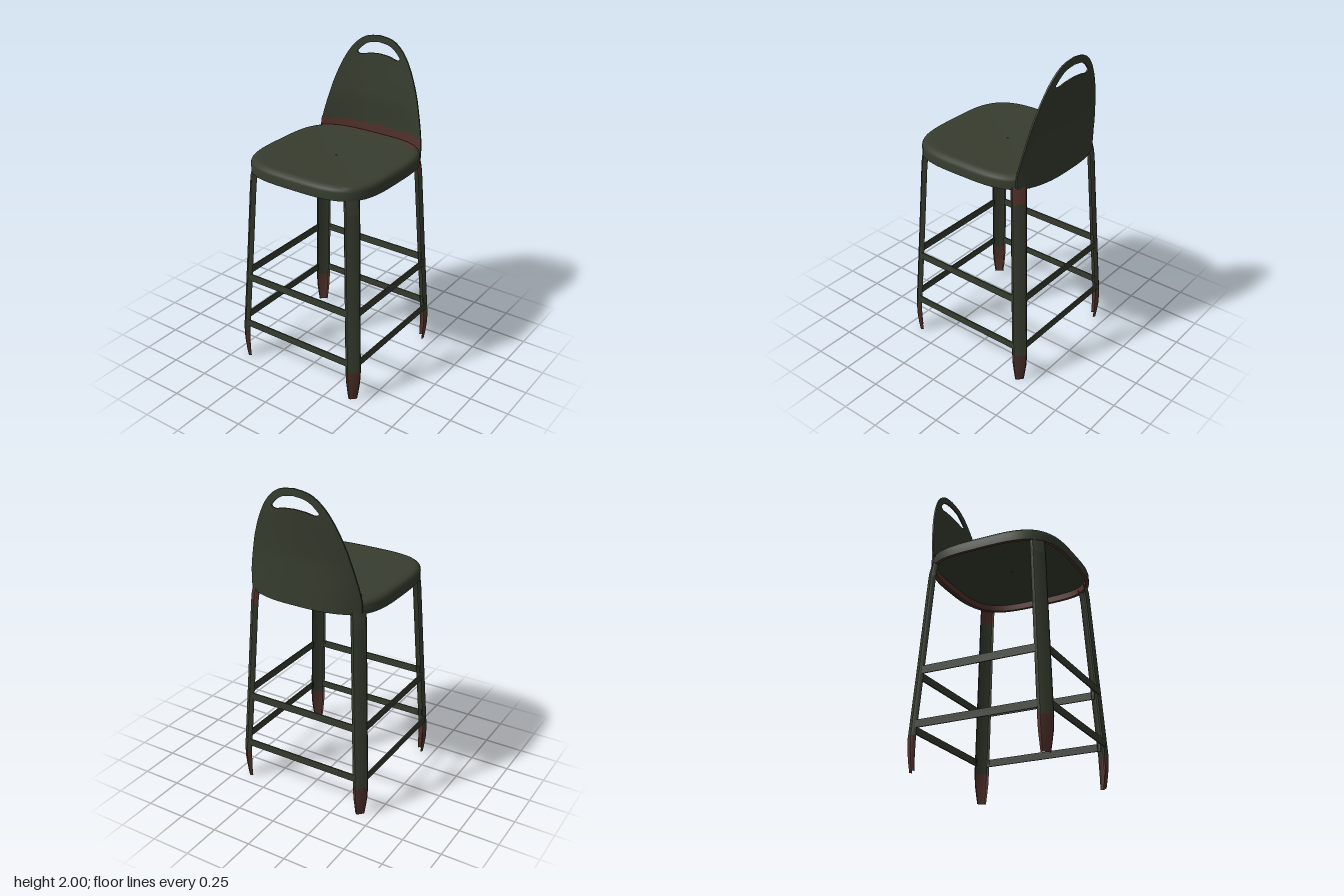
import * as THREE from 'three';
import { toCreasedNormals } from 'three/addons/utils/BufferGeometryUtils.js';

const makeMaterial = (name, color) => {
  const m = new THREE.MeshStandardMaterial({ color, side: THREE.DoubleSide });
  m.name = name;
  return m;
};

// Linear interpolation through [key, value] pairs with rising keys
function interp(table, k) {
  if (k <= table[0][0]) return table[0][1];
  for (let i = 1; i < table.length; i++) {
    const [a, va] = table[i - 1], [b, vb] = table[i];
    if (k <= b) return va + (vb - va) * (k - a) / (b - a);
  }
  return table[table.length - 1][1];
}

// Skin a surface over rows of points
function loft(rows, closed = false) {
  const n = rows[0].length, index = [];
  for (let j = 0; j < rows.length - 1; j++) {
    for (let i = 0; i < (closed ? n : n - 1); i++) {
      const a = j * n + i, b = j * n + (i + 1) % n;
      index.push(a, b, a + n, b, b + n, a + n);
    }
  }
  const g = new THREE.BufferGeometry();
  g.setAttribute('position', new THREE.Float32BufferAttribute(rows.flat(2), 3));
  g.setIndex(index);
  return toCreasedNormals(g, 0.7);
}

// Seat: rounded square outline scaled along a profile
const SEAT_TOP = [[0.01, 1.373], [0.6, 1.375], [0.84, 1.382], [0.92, 1.385], [0.965, 1.38], [0.99, 1.37], [1, 1.355]];
function seatPoint(angle, s, y) {
  const c = Math.cos(angle), d = Math.sin(angle), n = 3.6;
  const r = s * (Math.abs(c) ** n + Math.abs(d) ** n) ** (-1 / n);
  return [0.44 * r * c, y, 0.0075 + 0.4375 * r * d];
}
const seatRing = ([s, y]) => Array.from({ length: 80 }, (_, i) => seatPoint(-i * Math.PI / 40, s, y));

// Backrest: half width by height, and depth of the bent sheet
const BACK_EDGE = [[0.1, 1.982], [0.18, 1.92], [0.245, 1.82], [0.3, 1.69], [0.335, 1.57], [0.362, 1.46], [0.375, 1.38]];
const BACK_WIDTH = [...BACK_EDGE.map(([x, y]) => [y, x]).reverse(), [2, 0.02]];
const BACK_CENTRE = [[1.305, -0.444], [1.6, -0.436], [1.88, -0.457], [2, -0.455]];
const BACK_SIDE = [[1.305, -0.355], [1.385, -0.358], [2, -0.455]];
function backDepth(x, y) {
  const ratio = Math.min(1, Math.abs(x) / interp(BACK_WIDTH, y));
  const power = interp([[1.4, 3], [1.7, 2]], y);
  const zc = interp(BACK_CENTRE, y);
  return zc + (interp(BACK_SIDE, y) - zc) * ratio ** power;
}

// Full loop from a right-hand half outline
function mirroredLoop(path, n) {
  const half = path.getSpacedPoints(n);
  const other = half.slice(1, -1).reverse().map((p) => new THREE.Vector2(-p.x, p.y));
  return [...half, ...other];
}
const vecs = (list) => list.map(([x, y]) => new THREE.Vector2(x, y));

function backrestGeometry() {
  const outer = mirroredLoop(new THREE.Path().moveTo(0, 2).splineThru(vecs(BACK_EDGE))
    .lineTo(0.375, 1.305).lineTo(0, 1.305), 48);
  const slot = mirroredLoop(new THREE.Path().moveTo(0, 1.958).splineThru(vecs([
    [0.08, 1.945], [0.138, 1.912], [0.155, 1.883], [0.132, 1.866], [0.07, 1.879], [0, 1.885]])), 48);
  const rings = 16;
  const ring = (t, offset) => outer.map((o, i) => {
    const p = slot[i].clone().lerp(o, t);
    return [p.x, p.y, backDepth(p.x, p.y) + offset];
  });
  const front = [], rear = [];
  for (let j = 0; j <= rings; j++) {
    front.push(ring(j / rings, 0.01));
    rear.unshift(ring(j / rings, 0));
  }
  return loft([...front, ...rear, front[0]], true);
}

// Legs: bent sheet channel, open towards the middle of the stool
const CHANNEL = [[-0.045, -0.032], [-0.045, -0.013], [-0.038, -0.003], [-0.026, 0],
  [0.026, 0], [0.038, -0.003], [0.045, -0.013], [0.045, -0.032]];
function legGeometry(levels) {
  const k = Math.SQRT1_2;
  return loft(levels.map(([y, centre, s]) => CHANNEL.map(([t, r]) =>
    [centre + (r + t) * s * k, y, centre + (r - t) * s * k])));
}

export function createModel() {
  const green = makeMaterial('olive paint', 0x373d2f);
  const rust = makeMaterial('rust', 0x53332c);
  const model = new THREE.Group();
  model.name = 'barStool';
  const add = (parent, name, geometry, material) => {
    const mesh = new THREE.Mesh(geometry, material);
    mesh.name = name;
    parent.add(mesh);
    return mesh;
  };

  // Seat shell with a rusty lip underneath
  const seat = new THREE.Group();
  seat.name = 'seat';
  model.add(seat);
  add(seat, 'seatTop', loft([...SEAT_TOP, [1, 1.305]].reverse().map(seatRing), true), green);
  add(seat, 'seatLip', loft([[0.95, 1.345], [0.955, 1.305], [1, 1.305]].map(seatRing), true), rust);
  add(seat, 'seatUnderside', loft([[0.01, 1.355], [0.9, 1.355], [0.95, 1.345]].map(seatRing), true), green);

  // Backrest with hand slot
  add(model, 'backrest', backrestGeometry(), green);

  // Rust along the joint of seat and backrest
  const wave = (x) => 0.5 + 0.3 * Math.sin(x * 27 + 0.6) + 0.2 * Math.sin(x * 61);
  const steps = 48, seatRust = [], backRust = [];
  for (let j = 0; j <= 5; j++) {
    const v = j / 5, seatRow = [], backRow = [];
    for (let i = 0; i <= steps; i++) {
      const u = i / steps * 2 - 1;
      const angle = -Math.PI / 2 + u * 0.8;
      const s = 0.995 - v * (0.085 + 0.035 * wave(u * 0.37));
      seatRow.push(seatPoint(angle, s, interp(SEAT_TOP, s) + 0.002));
      const x = u * 0.37;
      const y = 1.37 + v * (0.05 + 0.025 * wave(x));
      backRow.push([x, y, backDepth(x, y) + 0.013]);
    }
    seatRust.push(seatRow);
    backRust.push(backRow);
  }
  add(seat, 'seatRust', loft(seatRust.reverse()), rust);
  add(model, 'backrestRust', loft(backRust), rust);

  // Four legs and two levels of rungs, one quarter turn each
  const foot = legGeometry([[0, 0.417, 0.6], [0.05, 0.422, 0.74], [0.12, 0.427, 0.92], [0.2, 0.428, 1]]);
  const shaft = legGeometry([[0.2, 0.428, 1], [0.7, 0.4, 1], [1.22, 0.372, 1]]);
  const legTop = legGeometry([[1.22, 0.372, 1], [1.27, 0.368, 1], [1.32, 0.36, 1]]);
  const lowRung = new THREE.BoxGeometry(0.78, 0.046, 0.008);
  const highRung = new THREE.BoxGeometry(0.74, 0.048, 0.008);
  const names = ['frontLeft', 'backLeft', 'backRight', 'frontRight'];
  names.forEach((name, k) => {
    const quarter = new THREE.Group();
    quarter.name = name + 'Leg';
    quarter.rotation.y = k * Math.PI / 2;
    model.add(quarter);
    add(quarter, 'foot', foot, rust);
    add(quarter, 'shaft', shaft, green);
    add(quarter, 'legTop', legTop, name === 'backLeft' ? rust : green);
    add(quarter, 'lowerRung', lowRung, green).position.set(0, 0.266, 0.441);
    add(quarter, 'upperRung', highRung, green).position.set(0, 0.598, 0.422);
  });

  return model;
}
